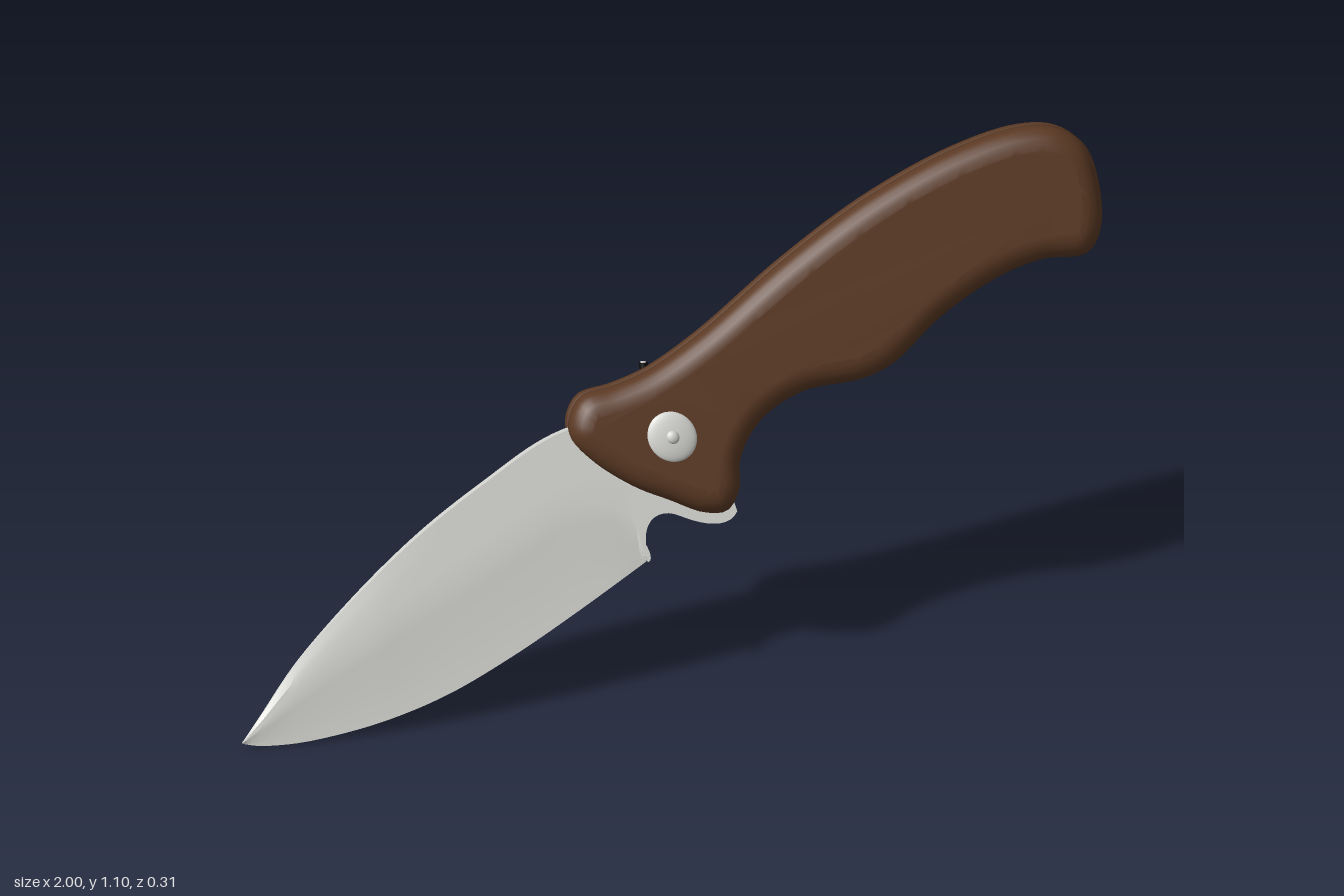
import * as THREE from 'three';
import { toCreasedNormals } from 'three/addons/utils/BufferGeometryUtils.js';

const mat = (name, color) => Object.assign(new THREE.MeshStandardMaterial({ color }), { name });

// The knife lies in a tilted plane: z = A + B*x + C*y, thickness w runs along its normal.
const A = 0.28, B = 0.205, C = -0.5;
const normal = new THREE.Vector3(-B, -C, 1).normalize();
const tilt = new THREE.Matrix4()
  .makeBasis(new THREE.Vector3(1, 0, B), new THREE.Vector3(0, 1, C), normal)
  .setPosition(0, 0, A);

const handlePoints = [
  [-0.2, 0.6], [-0.17, 0.635], [-0.1, 0.65], [-0.02, 0.675], [0.1, 0.737], [0.3, 0.865], [0.5, 0.975],
  [0.7, 1.055], [0.85, 1.088], [0.93, 1.08], [0.98, 1.04], [0.995, 0.95], [0.98, 0.87], [0.945, 0.832],
  [0.85, 0.828], [0.75, 0.8], [0.62, 0.735], [0.5, 0.65], [0.43, 0.625], [0.3, 0.61], [0.2, 0.56],
  [0.145, 0.49], [0.132, 0.43], [0.1, 0.39], [0.05, 0.39], [-0.02, 0.42], [-0.09, 0.452], [-0.17, 0.51], [-0.207, 0.56],
];

// Smooth closed outline, counter-clockwise
function outline(points, count) {
  const curve = new THREE.CatmullRomCurve3(points.map(([x, y]) => new THREE.Vector3(x, y, 0)), true);
  const pts = curve.getSpacedPoints(count).slice(0, count).map(p => new THREE.Vector2(p.x, p.y));
  return THREE.ShapeUtils.isClockWise(pts) ? pts.reverse() : pts;
}

// Move an outline inwards by d
function inset(pts, d) {
  const n = pts.length;
  return pts.map((p, i) => {
    const t = pts[(i + 2) % n].clone().sub(pts[(i + n - 2) % n]).normalize();
    return new THREE.Vector2(p.x - t.y * d, p.y + t.x * d);
  });
}

function indexed(positions, index) {
  const g = new THREE.BufferGeometry();
  g.setAttribute('position', new THREE.Float32BufferAttribute(positions, 3));
  g.setIndex(index);
  return g;
}

// Rounded handle scale: stacked inset loops closed by a cap; side is +1 or -1
function scaleGeometry(pts, side) {
  const profile = [[0.009, 0.018], [0.01, 0.006], [0.015, 0], [0.034, 0], [0.048, 0.004],
    [0.06, 0.012], [0.068, 0.022], [0.073, 0.034], [0.075, 0.046]];
  const n = pts.length, pos = [], idx = [];
  const tri = (a, b, c) => (side > 0 ? idx.push(a, b, c) : idx.push(a, c, b));
  let ring;
  profile.forEach(([w, d], k) => {
    ring = inset(pts, d);
    ring.forEach(p => pos.push(p.x, p.y, w * side));
    if (!k) return;
    for (let i = 0; i < n; i++) {
      const a = (k - 1) * n + i, b = (k - 1) * n + (i + 1) % n;
      tri(a, b, b + n);
      tri(a, b + n, a + n);
    }
  });
  const base = (profile.length - 1) * n;
  THREE.ShapeUtils.triangulateShape(ring, []).forEach(([a, b, c]) => tri(base + a, base + b, base + c));
  const g = indexed(pos, idx);
  g.computeVertexNormals();
  return g;
}

// Blade lofted from tip to heel, with a hollow grind and a bevelled spine
function bladeGeometry() {
  const xs = [-1, -0.95, -0.85, -0.7, -0.55, -0.4, -0.25, -0.085];
  const curve = ys => new THREE.SplineCurve(xs.map((x, i) => new THREE.Vector2(x, ys[i])));
  const spine = curve([0.013, 0.065, 0.168, 0.29, 0.395, 0.482, 0.558, 0.6]);
  const belly = curve([0.011, 0.003, 0.006, 0.03, 0.073, 0.137, 0.212, 0.3]);
  const stations = 60, pos = [], idx = [];
  let m;
  for (let i = 0; i <= stations; i++) {
    const t = i / stations, s = spine.getPoint(t), b = belly.getPoint(t);
    const T = 0.005 + 0.014 * Math.min(1, t * 2.2);
    const k = Math.max(0, (t - 0.84) / 0.16);
    const g = Math.max(0.02, (0.62 - 0.06 * t) * Math.sqrt(Math.max(0, 1 - k * k)));
    const top = T * (0.25 + 0.75 * Math.min(1, t / 0.6));
    const section = [];
    for (let j = 0; j <= 6; j++) section.push([g * j / 6, 0.002 + (T - 0.002) * (j / 6) ** 1.25]);
    section.push([(g + 0.84) / 2, T], [0.84, T], [0.92, (T + top) / 2], [1, top]);
    const loop = [...section, ...section.slice().reverse().map(([f, w]) => [f, -w])];
    m = loop.length;
    loop.forEach(([f, w]) => pos.push(b.x + (s.x - b.x) * f, b.y + (s.y - b.y) * f, w));
  }
  for (let i = 0; i < stations; i++) for (let j = 0; j < m; j++) {
    const a = i * m + j, d = i * m + (j + 1) % m;
    idx.push(a, a + m, d + m, a, d + m, d);
  }
  return toCreasedNormals(indexed(pos, idx), 0.3);
}

// Flat plate centred on the knife's plane
function plate(shape, half) {
  return new THREE.ExtrudeGeometry(shape, { depth: half * 2, bevelEnabled: false, curveSegments: 10 })
    .translate(0, 0, -half);
}

export function createModel() {
  const model = new THREE.Group();
  model.name = 'foldingKnife';
  const steel = mat('bladeSteel', 0xd6d6d2);
  const wood = mat('brownHandle', 0x5c3a24);
  const black = mat('blackLiner', 0x0b0a09);
  const add = (name, geometry, material) => {
    const mesh = new THREE.Mesh(geometry.applyMatrix4(tilt), material);
    mesh.name = name;
    model.add(mesh);
  };

  // Handle: two scales around a dark liner
  const pts = outline(handlePoints, 180);
  add('frontScale', scaleGeometry(pts, 1), wood);
  add('backScale', scaleGeometry(pts, -1), wood);
  add('liner', plate(new THREE.Shape(inset(pts, 0.007)), 0.0115), black);

  // Blade and the tang with its finger notch
  add('blade', bladeGeometry(), steel);
  const tang = new THREE.Shape();
  tang.moveTo(-0.083, 0.3);
  tang.quadraticCurveTo(-0.07, 0.305, -0.082, 0.335);
  tang.bezierCurveTo(-0.08, 0.385, -0.04, 0.405, 0, 0.385);
  tang.bezierCurveTo(0.04, 0.365, 0.1, 0.35, 0.122, 0.385);
  tang.lineTo(0.1, 0.5);
  tang.lineTo(-0.09, 0.6);
  tang.lineTo(-0.1, 0.4);
  add('tang', plate(tang, 0.0185), steel);

  // Pivot screws on both sides
  for (const side of [1, -1]) {
    const label = side > 0 ? 'front' : 'back';
    add(label + 'PivotScrew', new THREE.SphereGeometry(0.053, 32, 16).scale(1, 0.94, 0.25)
      .translate(0.003, 0.547, 0.074 * side), steel);
    add(label + 'PivotCentre', new THREE.SphereGeometry(0.014, 16, 10).scale(1, 0.94, 0.7)
      .translate(0.003, 0.547, 0.086 * side), steel);
  }

  // Small pin on the upper edge of the back scale
  add('lockPin', new THREE.CylinderGeometry(0.01, 0.01, 0.03, 16).translate(-0.02, 0.668, -0.04), black);
  add('lockPinHead', new THREE.CylinderGeometry(0.006, 0.006, 0.004, 16).translate(-0.02, 0.684, -0.04), steel);
  return model;
}
